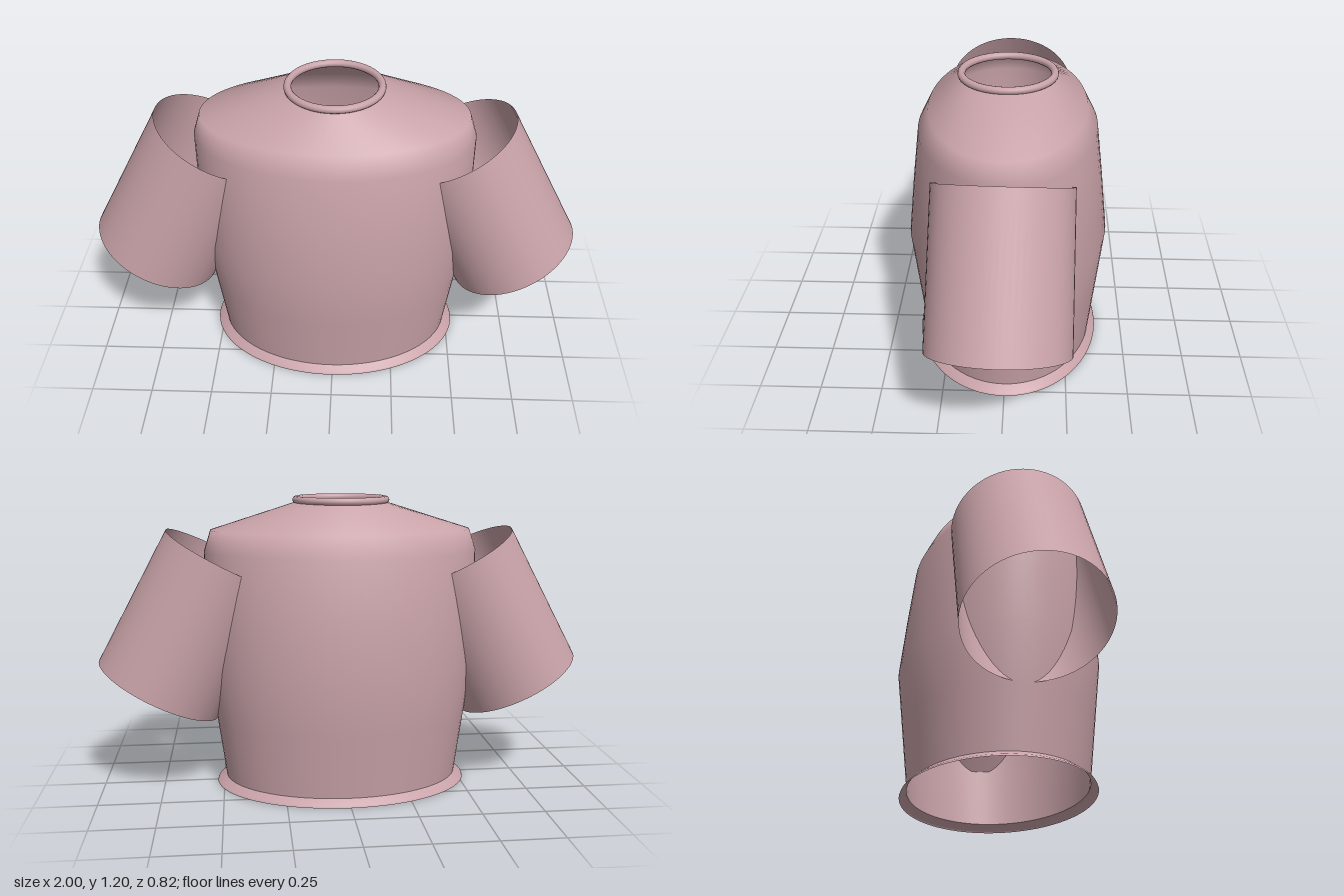
import * as THREE from 'three';

const SEGMENTS = 72;

// Smooth open shell through elliptical rings, each given as [y, radiusX, radiusZ]
function ellipticalShell(rings) {
  const positions = [];
  const index = [];
  rings.forEach(([y, rx, rz], r) => {
    for (let i = 0; i < SEGMENTS; i++) {
      const t = (i / SEGMENTS) * Math.PI * 2;
      positions.push(rx * Math.cos(t), y, rz * Math.sin(t));
      if (r === rings.length - 1) continue;
      const a = r * SEGMENTS + i;
      const b = r * SEGMENTS + ((i + 1) % SEGMENTS);
      index.push(a, a + SEGMENTS, b, b, a + SEGMENTS, b + SEGMENTS);
    }
  });
  const geometry = new THREE.BufferGeometry();
  geometry.setAttribute('position', new THREE.Float32BufferAttribute(positions, 3));
  geometry.setIndex(index);
  geometry.computeVertexNormals();
  return geometry;
}

export function createModel() {
  const group = new THREE.Group();
  group.name = 'shirt';
  const fabric = new THREE.MeshStandardMaterial({ color: 0xc8a2a8, side: THREE.DoubleSide });
  fabric.name = 'dusty pink fabric';

  const add = (name, geometry) => {
    const mesh = new THREE.Mesh(geometry, fabric);
    mesh.name = name;
    group.add(mesh);
    return mesh;
  };

  // Torso, from above the hem to the neck opening
  add('torso', ellipticalShell([
    [0.03, 0.49, 0.358],
    [0.28, 0.524, 0.385],
    [0.52, 0.557, 0.411],
    [0.76, 0.56, 0.385],
    [0.98, 0.56, 0.358],
    [1.065, 0.533, 0.315],
    [1.175, 0.185, 0.185],
  ]));

  // Flared hem
  add('hem', ellipticalShell([
    [0, 0.528, 0.387],
    [0.008, 0.525, 0.384],
    [0.03, 0.49, 0.358],
  ]));

  // Rolled collar
  const collar = add('collar', new THREE.TorusGeometry(0.183, 0.015, 12, SEGMENTS));
  collar.rotation.x = Math.PI / 2;
  collar.position.y = 1.184;

  // Open sleeves, sloping outward and down
  for (const [name, side] of [['leftSleeve', 1], ['rightSleeve', -1]]) {
    const top = new THREE.Vector3(side * 0.478, 0.946, 0.002);
    const cuff = new THREE.Vector3(side * 0.76, 0.408, 0.012);
    const axis = top.clone().sub(cuff);
    const sleeve = add(name, new THREE.CylinderGeometry(0.263, 0.272, axis.length(), SEGMENTS, 1, true));
    sleeve.position.copy(top).add(cuff).multiplyScalar(0.5);
    sleeve.quaternion.setFromUnitVectors(new THREE.Vector3(0, 1, 0), axis.normalize());
  }

  return group;
}
